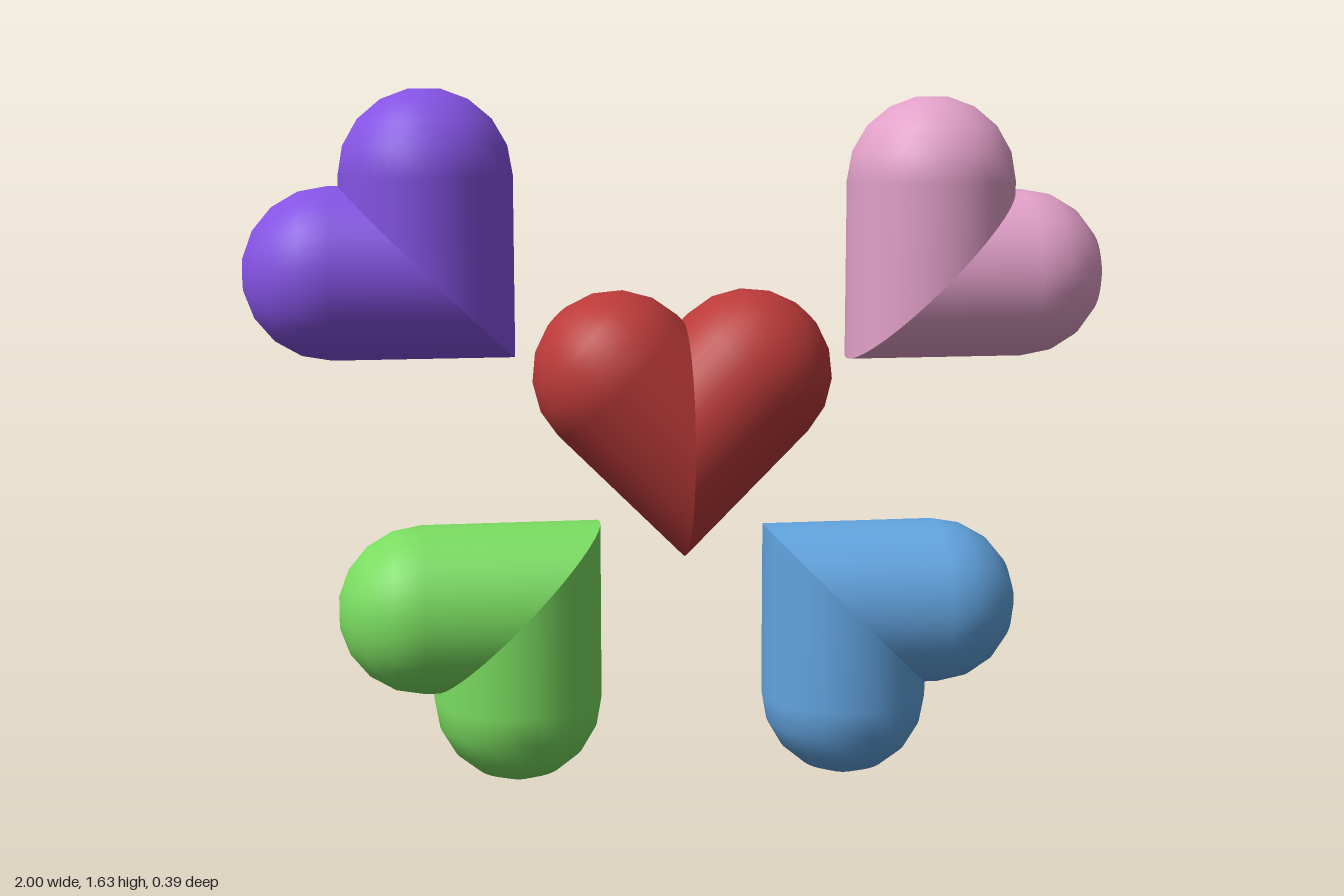
import * as THREE from 'three';

const R = 0.197;   // arm radius
const ARM = 0.219; // mitre centre to start of the rounded end

// One arm along +y: a tube mitred at the bottom on the plane y = x, with a rounded top
function armGeometry() {
  const profile = [new THREE.Vector2(R, 0)];
  for (const deg of [90, 70, 50, 30, 11]) {
    const a = THREE.MathUtils.degToRad(deg);
    profile.push(new THREE.Vector2(R * Math.sin(a), ARM + R * Math.cos(a)));
  }
  profile.push(new THREE.Vector2(0, profile[5].y));
  const geo = new THREE.LatheGeometry(profile, 40);
  const pos = geo.attributes.position;
  const nor = geo.attributes.normal;
  const n = new THREE.Vector3();
  for (let i = 0; i < pos.count; i++) {
    const x = pos.getX(i), y = pos.getY(i), z = pos.getZ(i);
    n.set(x, Math.max(0, y - ARM), z).normalize();
    nor.setXYZ(i, n.x, n.y, n.z);
    if (y < 1e-6) pos.setY(i, x); // cut the mitre
  }
  return geo;
}

export function createModel() {
  const model = new THREE.Group();
  model.name = 'hearts';
  const upright = armGeometry();
  // Second arm: half turn about the diagonal swaps x and y
  const sideways = upright.clone().applyMatrix4(
    new THREE.Matrix4().makeRotationAxis(new THREE.Vector3(1, 1, 0).normalize(), Math.PI));

  // name, colour, tip x, tip y, turn in degrees
  const hearts = [
    ['red', 0xbb3a39, 0, 0.543, 45],
    ['purple', 0x8553e4, -0.391, 1.024, 90],
    ['pink', 0xe2a0c8, 0.391, 1.005, 0],
    ['green', 0x7adc60, -0.197, 0.63, 180],
    ['blue', 0x62a4e0, 0.195, 0.609, -90],
  ];
  for (const [name, color, x, y, turn] of hearts) {
    const material = new THREE.MeshStandardMaterial({ color });
    material.name = name;
    const heart = new THREE.Group();
    heart.name = name + 'Heart';
    [upright, sideways].forEach((geo, i) => {
      const lobe = new THREE.Mesh(geo, material);
      lobe.name = name + (i ? 'SecondLobe' : 'FirstLobe');
      lobe.position.set(R, R, 0); // tip of the heart at the group origin
      heart.add(lobe);
    });
    heart.position.set(x, y, 0);
    heart.rotation.z = THREE.MathUtils.degToRad(turn);
    model.add(heart);
  }
  return model;
}
